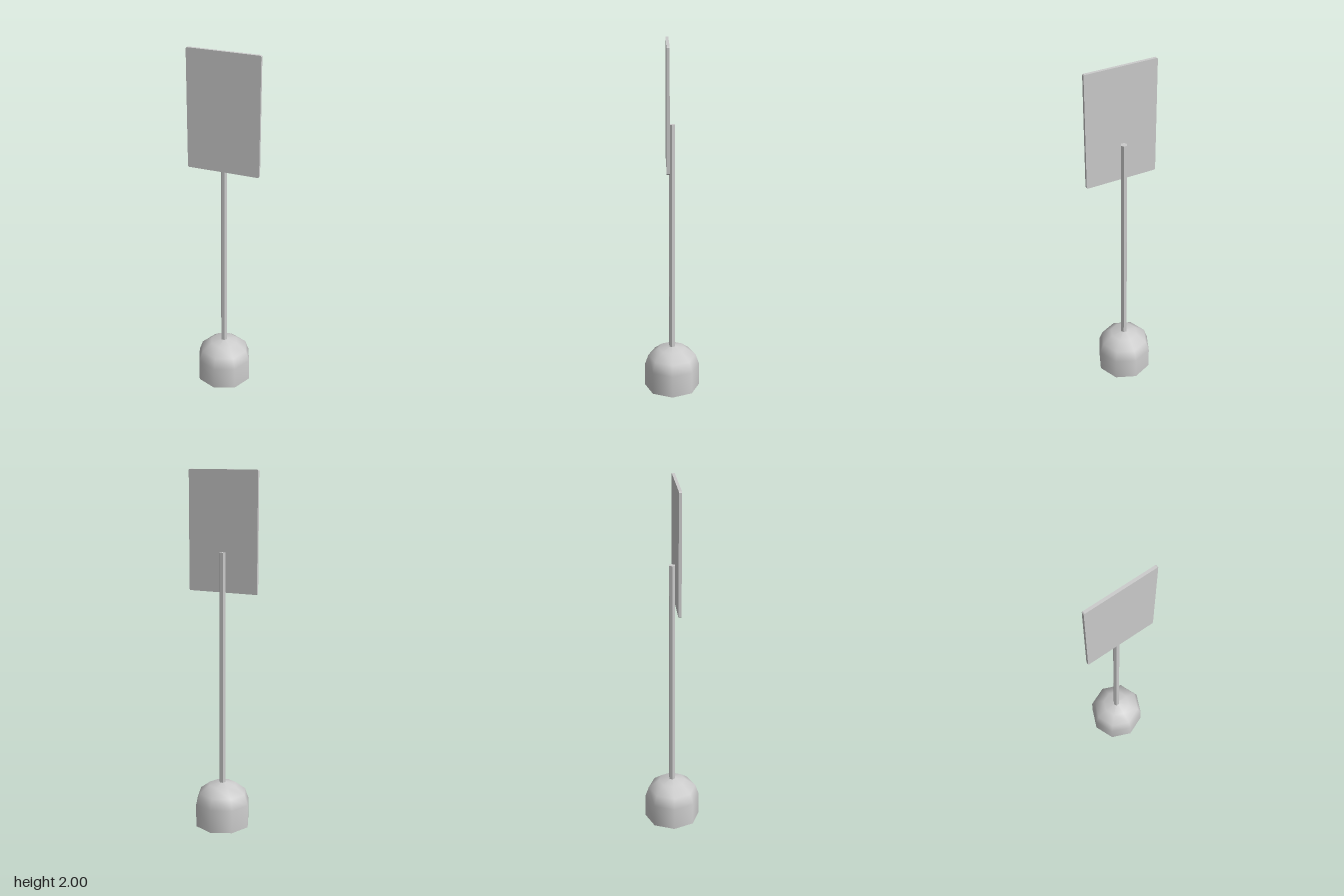
import * as THREE from 'three';

const grey = (options = {}) => new THREE.MeshStandardMaterial({ color: 0xcccccc, ...options });

function addPart(group, name, geometry, material, x, y, z) {
  const mesh = new THREE.Mesh(geometry, material);
  mesh.name = name;
  mesh.position.set(x, y, z);
  group.add(mesh);
  return mesh;
}

export function createModel() {
  const group = new THREE.Group();
  group.name = 'signPost';
  const postX = -0.007;

  // Eight-sided hollow base: straight skirt topped by a hemisphere
  const radius = 0.159, skirt = 0.132, domeHeight = 0.122;
  const profile = [new THREE.Vector2(radius, 0)];
  for (let i = 0; i <= 3; i++) {
    const a = (i / 3) * Math.PI / 2;
    profile.push(new THREE.Vector2(i === 3 ? 0 : radius * Math.cos(a), skirt + domeHeight * Math.sin(a)));
  }
  addPart(group, 'base', new THREE.LatheGeometry(profile, 8), grey({ side: THREE.DoubleSide }), postX, 0, 0);

  // Hexagonal pole with corners pointing left and right
  const bottom = 0.25, top = 1.56;
  const pole = new THREE.CylinderGeometry(0.0184, 0.0184, top - bottom, 6).rotateY(Math.PI / 6);
  addPart(group, 'pole', pole, grey({ flatShading: true }), postX, (top + bottom) / 2, 0);

  // Thin panel with slightly clipped corners, fixed to the front of the pole
  const w = 0.204, h = 0.33, c = 0.005;
  const outline = new THREE.Shape([
    [w - c, -h], [w, -h + c], [w, h - c], [w - c, h],
    [-w + c, h], [-w, h - c], [-w, -h + c], [-w + c, -h],
  ].map(([x, y]) => new THREE.Vector2(x, y)));
  const panel = new THREE.ExtrudeGeometry(outline, { depth: 0.016, bevelEnabled: false });
  addPart(group, 'panel', panel, grey({ flatShading: true }), 0, 1.67, 0.016);

  return group;
}
